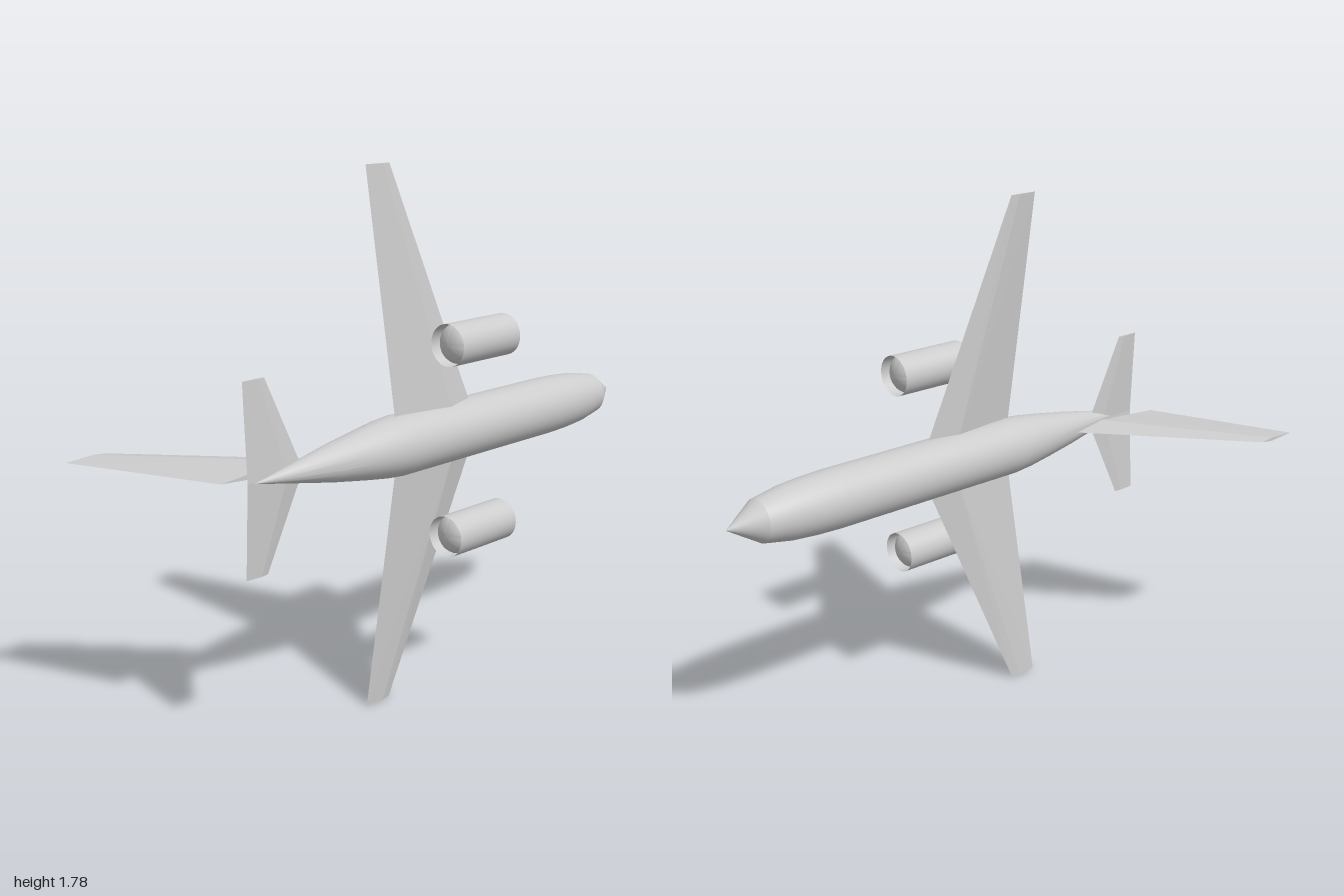
import * as THREE from 'three';
import { toCreasedNormals } from 'three/addons/utils/BufferGeometryUtils.js';
import { ConvexGeometry } from 'three/addons/geometries/ConvexGeometry.js';

const AXIS_Y = 0.888; // height of the fuselage axis
const AXIS_Z = 0.21;

export function createModel() {
  const model = new THREE.Group();
  model.name = 'airliner';

  const paint = new THREE.MeshStandardMaterial({ color: 0xcccccc });
  paint.name = 'light grey';

  const add = (name, geometry, x = 0, y = 0, z = 0) => {
    const mesh = new THREE.Mesh(geometry, paint);
    mesh.name = name;
    mesh.position.set(x, y, z);
    model.add(mesh);
  };

  // Solid of revolution along x, from [x, radius] pairs
  const turned = (profile, crease) => {
    const points = profile.map(([x, r]) => new THREE.Vector2(r, x));
    const geometry = new THREE.LatheGeometry(points, 40).rotateZ(-Math.PI / 2);
    return toCreasedNormals(geometry, crease);
  };

  // Kite-shaped aerofoil section: trailing edge, leading edge and two ridge points.
  // place(x, t) puts chord position x and thickness offset t into space.
  const section = (back, front, half, place) => {
    const ridge = back + (front - back) * 0.68;
    return [place(back, 0), place(front, 0), place(ridge, half), place(ridge, -half)];
  };

  // Fuselage with long tail cone and short nose cone
  add('fuselage', turned([
    [-0.75, 0], [-0.56, 0.037], [-0.44, 0.06], [-0.31, 0.081], [-0.22, 0.094],
    [-0.15, 0.1], [0.6, 0.1], [0.69, 0.097], [0.78, 0.09], [0.88, 0.072], [0.995, 0],
  ], 0.3), 0, AXIS_Y, AXIS_Z);

  for (const side of [1, -1]) {
    const label = side > 0 ? 'upper' : 'lower';
    // Section lying across the span, s away from the axis
    const at = (s, z) => (x, t) => new THREE.Vector3(x, AXIS_Y + side * s, z + t);

    add(label + 'Wing', new ConvexGeometry([
      ...section(-0.16, 0.215, 0.027, at(0.04, 0.224)),
      ...section(-0.235, -0.13, 0.005, at(0.888, 0.161)),
    ]));

    add(label + 'Tailplane', new ConvexGeometry([
      ...section(-0.765, -0.545, 0.009, at(0, 0.198)),
      ...section(-0.765, -0.68, 0.004, at(0.303, 0.183)),
    ]));

    // Engine pod: thin lip around a recessed dome at each end
    const dome = [];
    for (let i = 0; i <= 6; i++) {
      const a = (i / 6) * Math.PI / 2;
      dome.push([0.09 + 0.045 * Math.sin(a), 0.066 * Math.cos(a)]);
    }
    const rear = dome.map(([x, r]) => [-x, r]).reverse();
    add(label + 'Engine', turned([...rear, [-0.14, 0.069], [0.14, 0.069], ...dome], 0.6),
      0.125, AXIS_Y + side * 0.318, 0.306);
  }

  // Swept tail fin
  const finAt = (z) => (x, t) => new THREE.Vector3(x, AXIS_Y + t, z);
  add('tailFin', new ConvexGeometry([
    ...section(-0.82, -0.435, 0.02, finAt(0.143)),
    ...section(-1.0, -0.845, 0.006, finAt(-0.375)),
  ]));

  return model;
}
